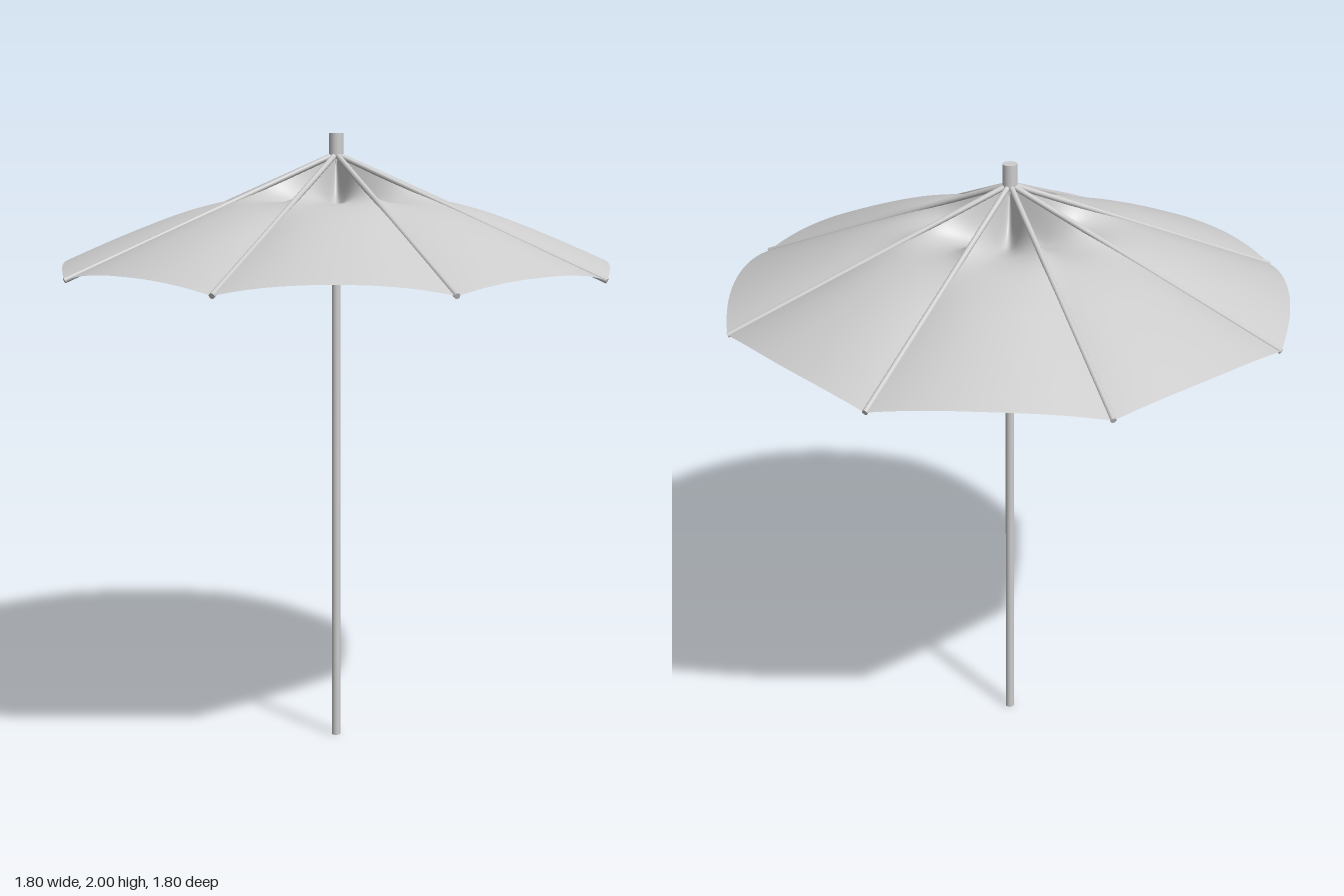
import * as THREE from 'three';

const RIBS = 8;
const APEX = 1.935;
const TIP_R = 0.895;
const TIP_Y = 1.56;

// Point on a straight rib: t = 0 at the apex, 1 at the tip
function ribPoint(index, t) {
  const a = (index / RIBS) * Math.PI * 2;
  return new THREE.Vector3(
    Math.sin(a) * TIP_R * t,
    THREE.MathUtils.lerp(APEX, TIP_Y, t),
    Math.cos(a) * TIP_R * t
  );
}

// Height of the panel's middle relative to its ribs (x = t, y = offset):
// a pocket around the pole, then a gentle billow towards the rim
const billow = new THREE.SplineCurve([
  [0, 0], [0.05, -0.083], [0.09, -0.108], [0.14, -0.108], [0.2, -0.081],
  [0.28, -0.042], [0.4, 0], [0.55, 0.024], [0.7, 0.033], [0.85, 0.036], [1, 0.035],
].map(([t, h]) => new THREE.Vector2(t, h)));

// One fabric panel stretched between two neighbouring ribs
function panelGeometry(index) {
  const rows = 40, cols = 20;
  const positions = [], indices = [];
  const mid = ((index + 0.5) / RIBS) * Math.PI * 2;
  const outward = new THREE.Vector3(Math.sin(mid), 0, Math.cos(mid));
  for (let i = 0; i <= rows; i++) {
    const { x: t, y: lift } = billow.getPoint(i / rows);
    const a = ribPoint(index, t), b = ribPoint(index + 1, t);
    for (let j = 0; j <= cols; j++) {
      const u = j / cols;
      const p = a.clone().lerp(b, u);
      p.addScaledVector(outward, 0.042 * t * 4 * u * (1 - u));
      p.y += lift * (1 - Math.abs(2 * u - 1) ** 2.3);
      positions.push(p.x, p.y, p.z);
      if (i < rows && j < cols) {
        const k = i * (cols + 1) + j, n = k + cols + 1;
        indices.push(k, n, k + 1, k + 1, n, n + 1);
      }
    }
  }
  const geo = new THREE.BufferGeometry();
  geo.setAttribute('position', new THREE.Float32BufferAttribute(positions, 3));
  geo.setIndex(indices);
  geo.computeVertexNormals();
  return geo;
}

export function createModel() {
  const group = new THREE.Group();
  group.name = 'parasol';

  const grey = new THREE.MeshStandardMaterial({ color: 0xcccccc });
  grey.name = 'light grey';
  const fabric = new THREE.MeshStandardMaterial({ color: 0xcccccc, side: THREE.DoubleSide });
  fabric.name = 'light grey fabric';

  const add = (name, geometry, material, parent = group) => {
    const mesh = new THREE.Mesh(geometry, material);
    mesh.name = name;
    parent.add(mesh);
    return mesh;
  };

  // Pole and top cap
  add('pole', new THREE.CylinderGeometry(0.014, 0.014, 1.94, 20), grey).position.y = 0.97;
  add('topCap', new THREE.CylinderGeometry(0.023, 0.023, 0.07, 20), grey).position.y = 1.965;

  // Canopy panels and ribs
  const canopy = new THREE.Group();
  canopy.name = 'canopy';
  const ribs = new THREE.Group();
  ribs.name = 'ribs';
  group.add(canopy, ribs);

  const up = new THREE.Vector3(0, 1, 0);
  for (let i = 0; i < RIBS; i++) {
    add('canopyPanel', panelGeometry(i), fabric, canopy);

    const start = ribPoint(i, 0), end = ribPoint(i, 1);
    const span = end.clone().sub(start);
    const rib = add('rib', new THREE.CylinderGeometry(0.009, 0.009, span.length(), 10), grey, ribs);
    rib.position.copy(start).add(end).multiplyScalar(0.5);
    rib.quaternion.setFromUnitVectors(up, span.normalize());
  }
  return group;
}
